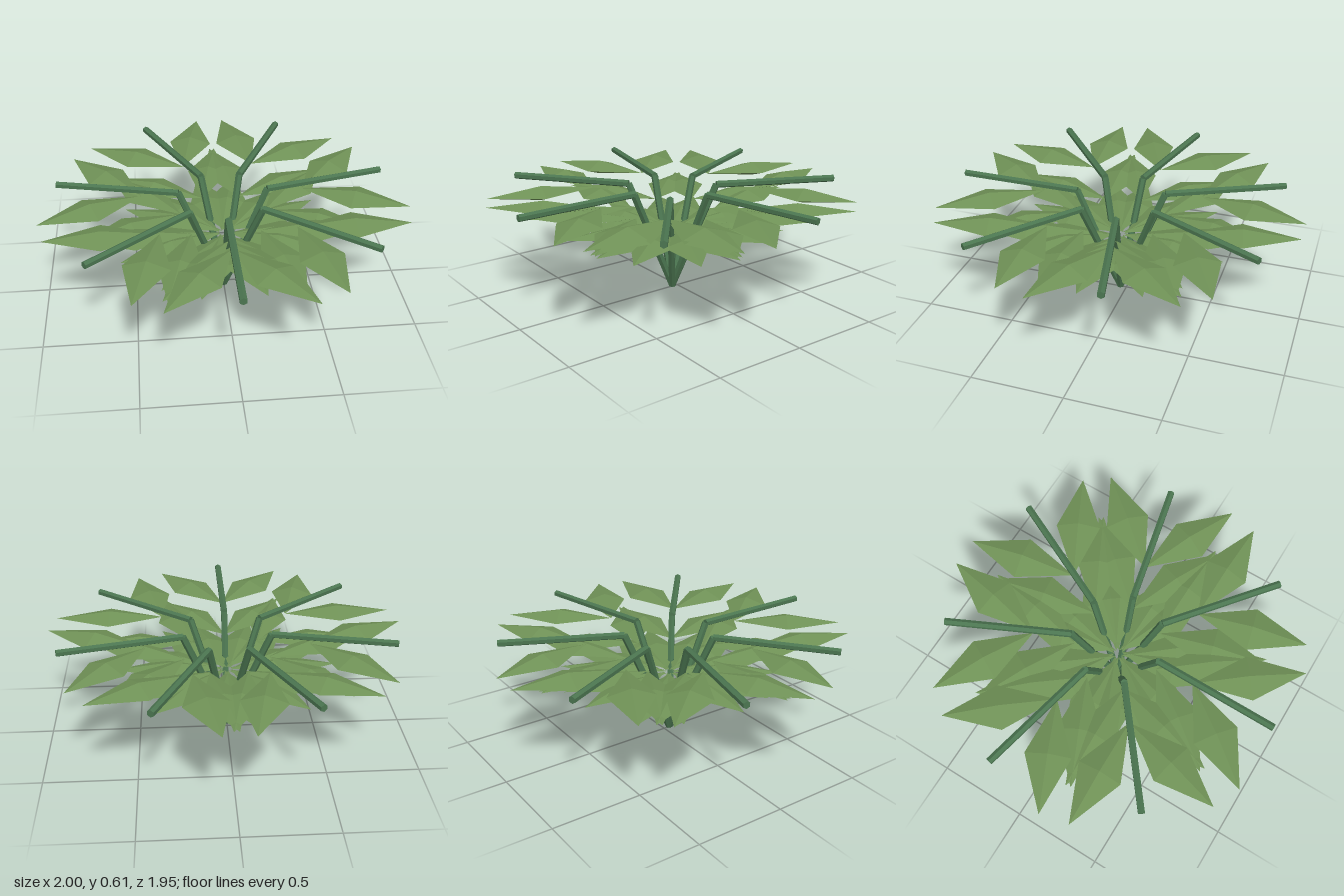
import * as THREE from 'three';

const stemGreen = new THREE.MeshStandardMaterial({ color: 0x4b7550 });
stemGreen.name = 'stem green';
const leafGreen = new THREE.MeshStandardMaterial({ color: 0x6f9156 });
leafGreen.name = 'leaf green';

const SPOKES = 7;
const KNEE = { r: 0.25, y: 0.592 };
const STEM_END = 0.935;
const STEM_RADIUS = 0.02;
const LEAF = { length: 0.605, width: 0.245, height: 0.08, angle: 0.646 };
// Each tier of leaves: height, and how far out along the spoke they sprout
const TIERS = [
  { y: 0.555, r: 0.458 },
  { y: 0.455, r: 0.24 },
  { y: 0.355, r: 0.022 },
];

// Faceted six-sided rod between two points of the local yz plane
function rodGeometry(y0, z0, y1, z1) {
  const length = Math.hypot(y1 - y0, z1 - z0);
  const rod = new THREE.CylinderGeometry(STEM_RADIUS, STEM_RADIUS, length, 6).toNonIndexed();
  rod.computeVertexNormals();
  rod.rotateX(Math.atan2(z1 - z0, y1 - y0));
  rod.translate(0, (y0 + y1) / 2, (z0 + z1) / 2);
  return rod;
}

// Long flat diamond with its base at the origin, pointing along +z
function leafGeometry() {
  const leaf = new THREE.OctahedronGeometry(1);
  leaf.scale(LEAF.width / 2, LEAF.height / 2, LEAF.length / 2);
  leaf.translate(0, 0, LEAF.length / 2);
  leaf.computeVertexNormals();
  return leaf;
}

function addMesh(parent, name, geometry, material) {
  const mesh = new THREE.Mesh(geometry, material);
  mesh.name = name;
  parent.add(mesh);
  return mesh;
}

export function createModel() {
  const plant = new THREE.Group();
  plant.name = 'leafyPlant';
  plant.position.z = 0.035;

  const lowerStem = rodGeometry(0.008, 0, KNEE.y, KNEE.r);
  const upperStem = rodGeometry(KNEE.y, KNEE.r, KNEE.y, STEM_END);
  const leaf = leafGeometry();

  for (let i = 0; i < SPOKES; i++) {
    const branch = new THREE.Group();
    branch.name = `branch${i + 1}`;
    branch.rotation.y = (i / SPOKES) * Math.PI * 2;
    plant.add(branch);

    // Bent stem
    addMesh(branch, 'risingStem', lowerStem, stemGreen);
    addMesh(branch, 'spreadingStem', upperStem, stemGreen);

    // A mirrored pair of leaves on every tier
    TIERS.forEach((tier, t) => {
      for (const side of [-1, 1]) {
        const name = `${side > 0 ? 'left' : 'right'}LeafTier${t + 1}`;
        const mesh = addMesh(branch, name, leaf, leafGreen);
        mesh.position.set(0, tier.y, tier.r);
        mesh.rotation.y = side * LEAF.angle;
      }
    });
  }

  const model = new THREE.Group();
  model.name = 'plant';
  model.add(plant);
  return model;
}
